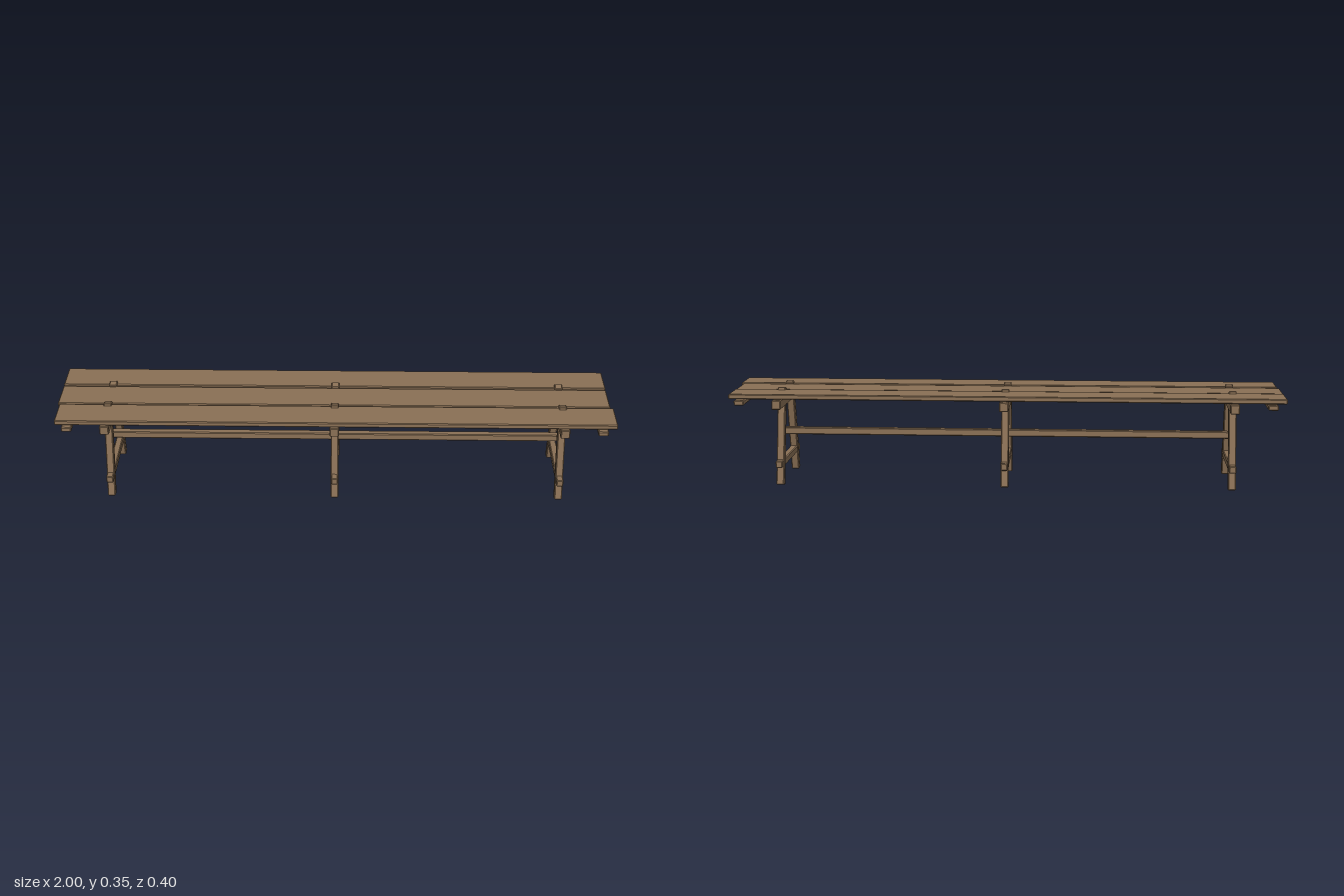
import * as THREE from 'three';
import { ConvexGeometry } from 'three/addons/geometries/ConvexGeometry.js';

// Box with small flat chamfers on every edge
function chamferedBox(w, h, d, c = 0.003) {
  const points = [];
  for (const sx of [-1, 1]) for (const sy of [-1, 1]) for (const sz of [-1, 1]) {
    const x = w / 2, y = h / 2, z = d / 2;
    points.push(
      new THREE.Vector3(sx * x, sy * (y - c), sz * (z - c)),
      new THREE.Vector3(sx * (x - c), sy * y, sz * (z - c)),
      new THREE.Vector3(sx * (x - c), sy * (y - c), sz * z));
  }
  return new ConvexGeometry(points);
}

export function createModel() {
  const wood = new THREE.MeshStandardMaterial({ color: 0x8a7055 });
  wood.name = 'brown wood';
  const model = new THREE.Group();
  model.name = 'trestleBench';

  const beam = (parent, name, size, position, tilt = 0) => {
    const mesh = new THREE.Mesh(chamferedBox(...size), wood);
    mesh.name = name;
    mesh.position.set(...position);
    mesh.rotation.x = tilt;
    parent.add(mesh);
  };

  // Seat planks
  beam(model, 'frontPlank', [1.993, 0.018, 0.12], [0.0035, 0.336, 0.131]);
  beam(model, 'middlePlank', [1.99, 0.02, 0.125], [-0.005, 0.333, 0]);
  beam(model, 'backPlank', [1.99, 0.018, 0.12], [-0.005, 0.336, -0.131]);

  // Battens under the plank ends
  for (const s of [-1, 1]) {
    beam(model, s > 0 ? 'leftBatten' : 'rightBatten', [0.036, 0.018, 0.404], [s * 0.95, 0.315, 0]);
  }

  // Three trestles with splayed legs that poke up between the planks
  const bottom = { y: 0.0045, z: 0.146 }, top = { y: 0.3525, z: 0.07 };
  const rise = top.y - bottom.y, run = bottom.z - top.z;
  for (const [name, x] of [['rightTrestle', -0.817], ['middleTrestle', 0], ['leftTrestle', 0.817]]) {
    const trestle = new THREE.Group();
    trestle.name = name;
    trestle.position.x = x;
    for (const s of [-1, 1]) {
      beam(trestle, s > 0 ? 'frontLeg' : 'backLeg', [0.028, Math.hypot(rise, run), 0.028],
        [0, (top.y + bottom.y) / 2, s * (top.z + bottom.z) / 2], -s * Math.atan2(run, rise));
    }
    beam(trestle, 'topCrossbar', [0.033, 0.034, 0.39], [0, 0.307, 0]);
    beam(trestle, 'lowerCrossbar', [0.025, 0.026, 0.34], [0, 0.084, 0]);
    model.add(trestle);
  }

  // Long stretcher joining the trestles
  beam(model, 'longStretcher', [1.65, 0.026, 0.026], [0, 0.179, 0]);

  return model;
}
